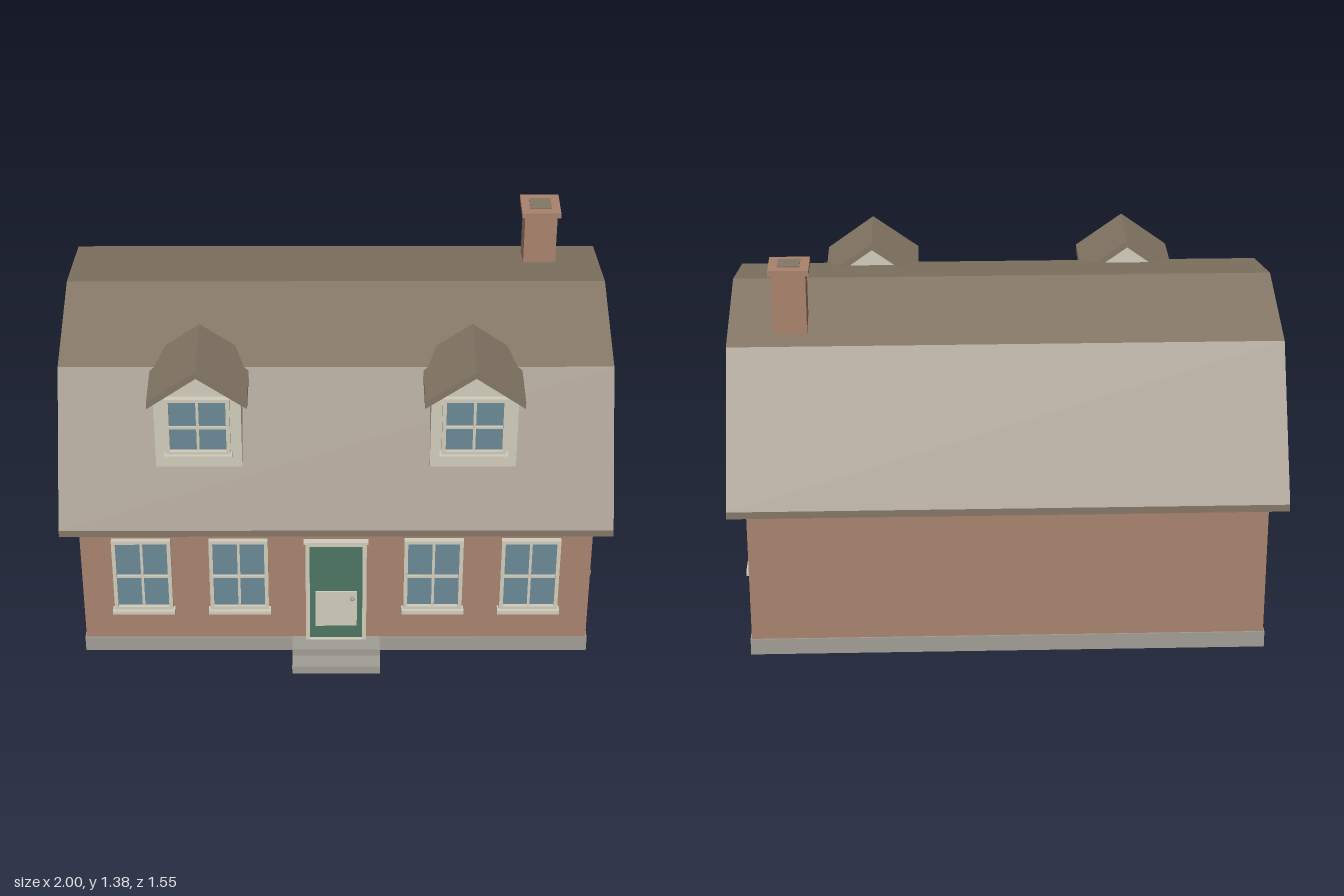
import * as THREE from 'three';

const mat = (name, color) => {
  const m = new THREE.MeshStandardMaterial({ color });
  m.name = name;
  return m;
};

const CZ = -0.0375;            // depth centre of the house body
const WALL_X = 0.935, WALL_Z = 0.675;   // half sizes of the walls

export function createModel() {
  const brick = mat('brick', 0xa9826d);
  const cream = mat('cream trim', 0xd1ccbb);
  const shingle = mat('shingle', 0x857766);
  const stone = mat('stone', 0xa29e96);
  const glass = mat('window glass', 0x6b8a97);
  const green = mat('door green', 0x4d7564);

  const house = new THREE.Group();
  house.name = 'house';

  const add = (parent, name, geo, material) => {
    const m = new THREE.Mesh(geo, material);
    m.name = name;
    parent.add(m);
    return m;
  };
  // box given by its min and max on each axis
  const box = (parent, name, material, x0, x1, y0, y1, z0, z1) => {
    const m = add(parent, name, new THREE.BoxGeometry(x1 - x0, y1 - y0, z1 - z0), material);
    m.position.set((x0 + x1) / 2, (y0 + y1) / 2, (z0 + z1) / 2);
    return m;
  };
  const polygon = pts => new THREE.Shape(pts.map(p => new THREE.Vector2(p[0], p[1])));
  const extrude = (shape, depth) => new THREE.ExtrudeGeometry(shape, { depth, bevelEnabled: false });
  // mirrors half an outline [half width, y], running from ridge to eave
  const mirrored = half => [
    ...half.slice().reverse().map(([a, y]) => [-a, y]),
    ...half.filter(([a]) => a > 0),
  ];
  // thin roof shell: outline with the same outline lowered by t
  const shell = (half, t) => {
    const top = mirrored(half);
    return polygon([...top, ...top.map(([a, y]) => [a, y - t]).reverse()]);
  };
  // extrusion running along x, centred on the house
  const alongX = (shape, width) =>
    extrude(shape, width).translate(0, 0, -width / 2).rotateY(-Math.PI / 2).translate(0, 0, CZ);
  // rectangular frame standing on y = 0
  const frame = (w, h, t, depth, bottom = t) => {
    const s = polygon([[-w / 2, 0], [w / 2, 0], [w / 2, h], [-w / 2, h]]);
    const a = w / 2 - t;
    s.holes.push(polygon([[-a, bottom], [-a, h - t], [a, h - t], [a, bottom]]));
    return extrude(s, depth);
  };

  // window with its back on z = 0, standing on the sill at y = 0
  const makeWindow = (parent, name, w, h, x, y, z, turn = 0) => {
    const g = new THREE.Group();
    g.name = name;
    add(g, 'casing', frame(w, h, 0.014, 0.02), cream);
    box(g, 'pane', glass, -w / 2 + 0.01, w / 2 - 0.01, 0.01, h - 0.01, 0, 0.006);
    box(g, 'verticalBar', cream, -0.005, 0.005, 0.01, h - 0.01, 0.004, 0.013);
    box(g, 'horizontalBar', cream, -w / 2 + 0.01, w / 2 - 0.01, h * 0.47 - 0.005, h * 0.47 + 0.005, 0.004, 0.0135);
    box(g, 'sill', cream, -w / 2 - 0.007, w / 2 + 0.007, -0.014, 0.002, -0.002, 0.032);
    g.position.set(x, y, z);
    g.rotation.y = turn;
    parent.add(g);
  };

  // foundation and walls
  box(house, 'foundation', stone, -0.94, 0.94, 0, 0.062, CZ - 0.68, CZ + 0.68);
  box(house, 'brickWalls', brick, -WALL_X, WALL_X, 0.06, 0.648, CZ - WALL_Z, CZ + WALL_Z);

  // gambrel roof with the gable ends below it
  const roofLine = [[0, 1.21], [0.427, 1.11], [0.7375, 0.608]];
  const T = 0.027;
  add(house, 'mainRoof', alongX(shell(roofLine, T), 2), shingle);
  const gable = mirrored([[0, 1.21 - T], [0.427, 1.11 - T], [WALL_Z, 0.682], [WALL_Z, 0.648]]);
  add(house, 'gables', alongX(polygon(gable), WALL_X * 2), cream);

  // trim board under the front eave
  const front = CZ + WALL_Z;
  box(house, 'eaveTrim', cream, -0.94, 0.94, 0.635, 0.665, front - 0.01, front + 0.022);

  // front windows
  for (const x of [-0.712, -0.357, 0.357, 0.712])
    makeWindow(house, 'frontWindow', 0.216, 0.318, x, 0.208, front);

  // windows in the left end wall
  for (const z of [0.297, -0.333])
    makeWindow(house, 'endWindow', 0.234, 0.33, WALL_X, 0.2, z, Math.PI / 2);
  makeWindow(house, 'atticWindow', 0.23, 0.297, WALL_X, 0.718, CZ, Math.PI / 2);

  // front door
  const door = new THREE.Group();
  door.name = 'frontDoor';
  add(door, 'doorCasing', frame(0.224, 0.454, 0.015, 0.021, 0.004), cream);
  box(door, 'doorLeaf', green, -0.1, 0.1, 0.003, 0.443, 0, 0.008);
  box(door, 'doorPanel', cream, -0.077, 0.077, 0.062, 0.224, 0.007, 0.012);
  box(door, 'doorHead', cream, -0.118, 0.118, 0.452, 0.461, 0, 0.026);
  const knob = add(door, 'doorKnob', new THREE.SphereGeometry(0.008, 12, 8), stone);
  knob.position.set(0.06, 0.196, 0.02);
  door.position.set(0, 0.062, front);
  house.add(door);

  // front steps
  box(house, 'lowerStep', stone, -0.163, 0.163, 0, 0.033, front, 0.776);
  box(house, 'upperStep', stone, -0.163, 0.163, 0.03, 0.064, front, 0.714);

  // dormers
  for (const side of [-1, 1]) {
    const d = new THREE.Group();
    d.name = side > 0 ? 'leftDormer' : 'rightDormer';
    const wall = polygon([[-0.155, 0.806], [0.155, 0.806], [0.155, 1.09], [0, 1.2], [-0.155, 1.09]]);
    add(d, 'dormerWalls', extrude(wall, 0.28).translate(0, 0, 0.3), cream);
    const cover = shell([[0, 1.226], [0.178, 1.098]], 0.028);
    add(d, 'dormerRoof', extrude(cover, 0.315).translate(0, 0, 0.285), shingle);
    makeWindow(d, 'dormerWindow', 0.23, 0.238, 0, 0.872, 0.58);
    d.position.x = side * 0.492;
    house.add(d);
  }

  // chimney
  const chimney = new THREE.Group();
  chimney.name = 'chimney';
  box(chimney, 'chimneyStack', brick, -0.061, 0.061, 1.05, 1.36, -0.061, 0.061);
  box(chimney, 'chimneyCap', brick, -0.073, 0.073, 1.353, 1.374, -0.073, 0.073);
  box(chimney, 'flue', shingle, -0.04, 0.04, 1.37, 1.379, -0.038, 0.038);
  chimney.position.set(0.774, 0, -0.327);
  house.add(chimney);

  return house;
}
